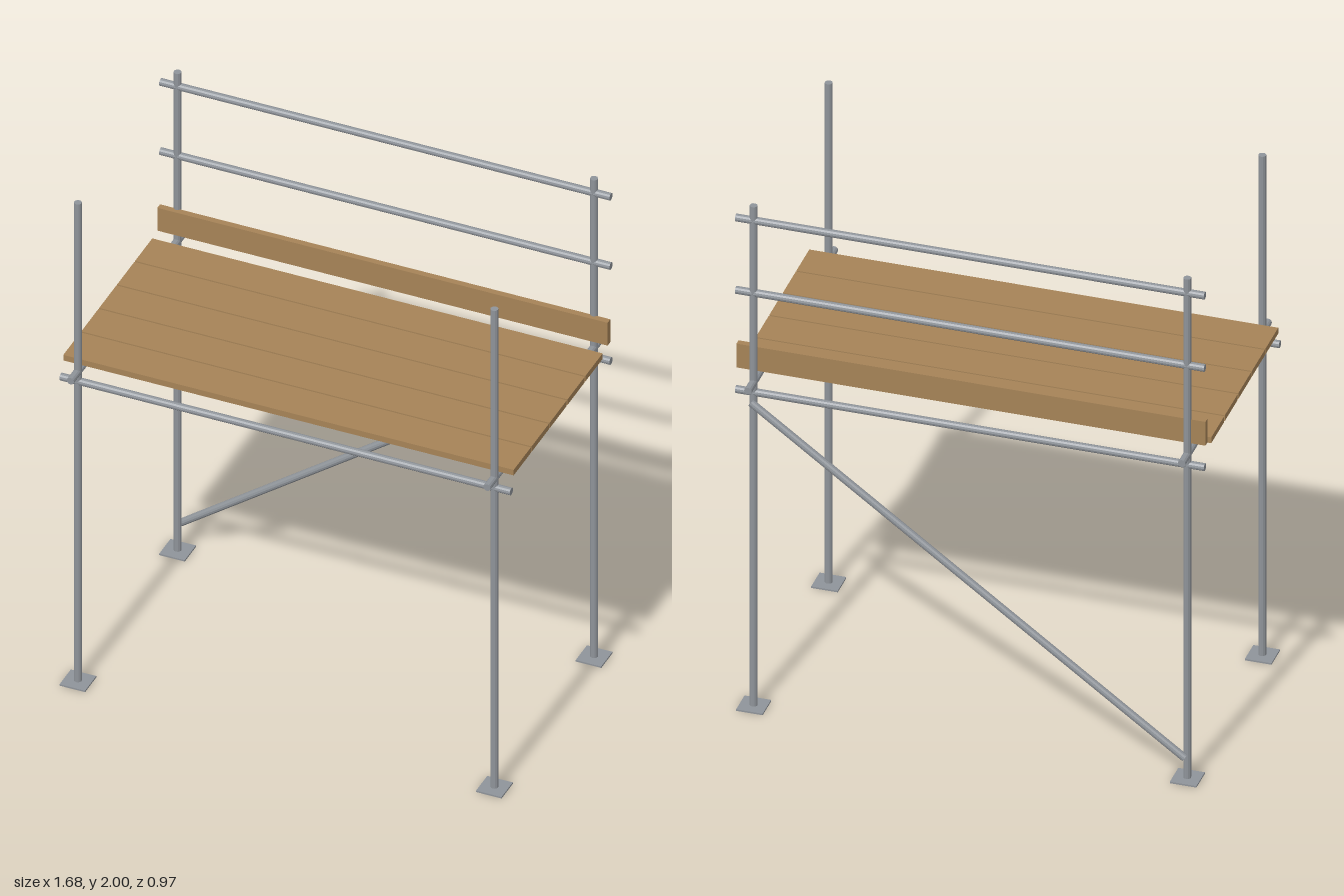
import * as THREE from 'three';

const R = 0.0137;      // tube radius
const POST_X = 0.775;
const POST_Z = 0.42;
const LENGTH = 1.676;  // rails and boards

export function createModel() {
  const model = new THREE.Group();
  model.name = 'scaffold';
  const steel = new THREE.MeshStandardMaterial({ name: 'galvanised steel', color: 0x8f949a, flatShading: true });
  const wood = new THREE.MeshStandardMaterial({ name: 'timber', color: 0xa68357, flatShading: true });

  // Steel tube between two points
  const tube = (name, from, to) => {
    const a = new THREE.Vector3(...from), b = new THREE.Vector3(...to);
    const dir = b.clone().sub(a);
    const mesh = new THREE.Mesh(new THREE.CylinderGeometry(R, R, dir.length(), 12), steel);
    mesh.position.copy(a).add(b).multiplyScalar(0.5);
    mesh.quaternion.setFromUnitVectors(new THREE.Vector3(0, 1, 0), dir.normalize());
    mesh.name = name;
    model.add(mesh);
  };
  const box = (name, size, position, material) => {
    const mesh = new THREE.Mesh(new THREE.BoxGeometry(...size), material);
    mesh.position.set(...position);
    mesh.name = name;
    model.add(mesh);
  };
  const rail = (name, y, z) => tube(name, [-LENGTH / 2, y, z], [LENGTH / 2, y, z]);

  for (const sx of [-1, 1]) {
    const x = sx * POST_X;
    // Uprights on base plates
    for (const sz of [-1, 1]) {
      tube('upright', [x, 0, sz * POST_Z], [x, 2, sz * POST_Z]);
      box('basePlate', [0.095, 0.006, 0.095], [x, 0.003, sz * POST_Z], steel);
    }
    // Cross tubes under the deck
    tube('transom', [x, 1.295, -0.484], [x, 1.295, 0.484]);
  }

  // Lengthwise tubes and back guard rails
  rail('frontLedger', 1.255, POST_Z);
  rail('backLedger', 1.255, -POST_Z);
  rail('midGuardRail', 1.651, -POST_Z);
  rail('topGuardRail', 1.94, -POST_Z);

  // Diagonal brace behind the back uprights
  tube('diagonalBrace', [-POST_X, 0.1, -0.45], [POST_X, 1.23, -0.45]);

  // Deck boards and toe board
  for (let i = 0; i < 5; i++) {
    box('deckBoard', [LENGTH, 0.023, 0.145], [0, 1.321, 0.328 - i * 0.1512], wood);
  }
  box('toeBoard', [LENGTH, 0.095, 0.023], [0, 1.385, -0.403], wood);

  return model;
}
